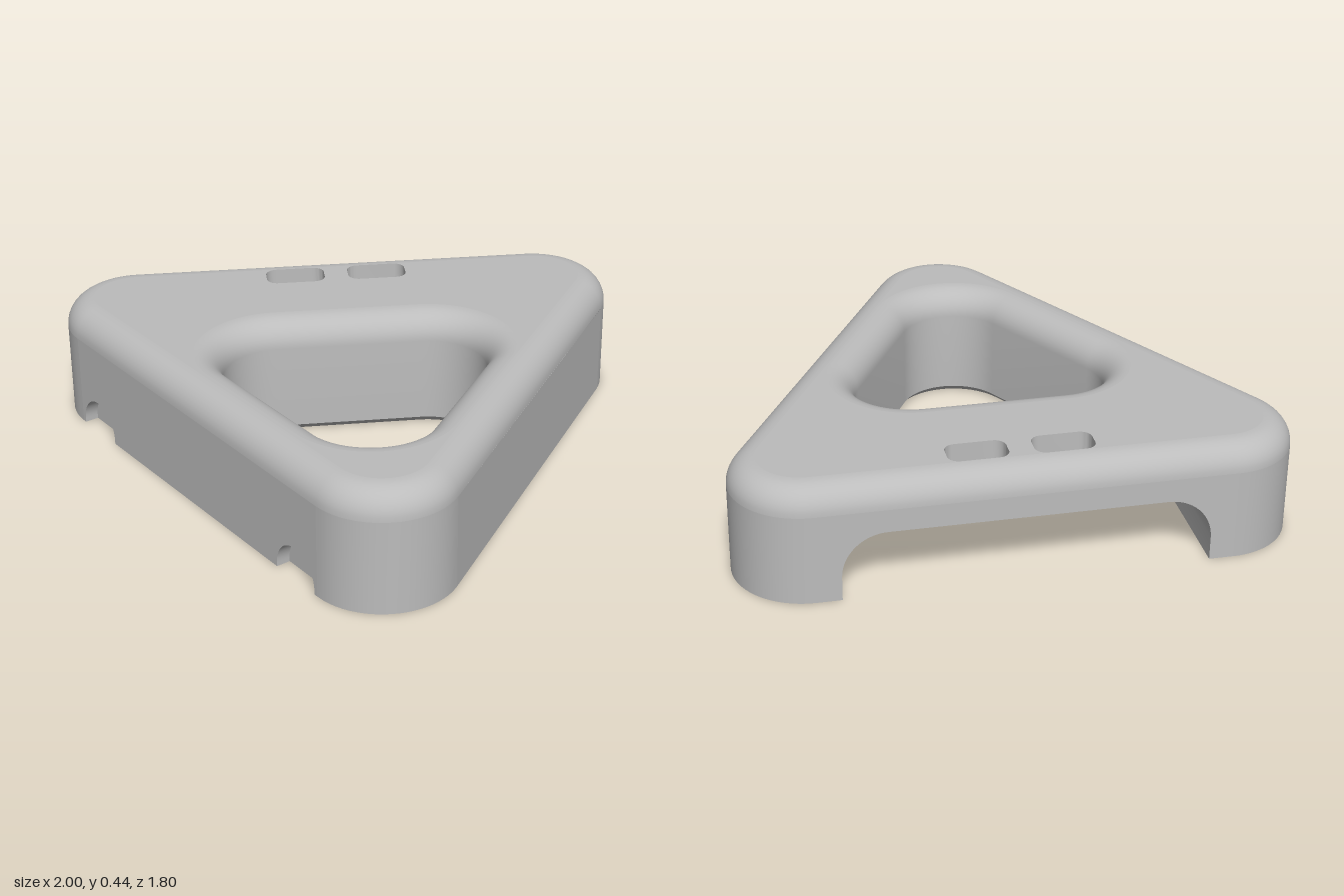
import * as THREE from 'three';
import { toCreasedNormals } from 'three/addons/utils/BufferGeometryUtils.js';

const H = 0.435, FILLET = 0.1, WALL = H - FILLET, R = 0.26, SIDE = 1.48;
const OUTER = [[0, -0.64], [-0.74, 0.64], [0.74, 0.64]];
const HOLE = [[0.21, 0.03], [-0.05, 0.48], [0.47, 0.48]], HOLE_R = 0.205;
// Underside pocket: t runs along the left wall, d inward from it
const T0 = 0.09, T1 = 1.39, DEPTH = 0.53, ARCH = 0.25, ARCH_R = 0.16;
const LIP = 0.05, CEILING = 0.36, SLOPE_END = 0.142;
const SLOTS = [0.892, 0.588], SLOT_D = 0.163, SLOT_HALF = 0.108, SLOT_R = 0.04;
const NOTCHES = [0.12, 1.36], NOTCH_R = 0.105, NOTCH_DEPTH = 0.05;

export function createModel() {
  const grey = new THREE.MeshStandardMaterial({ color: 0xbcbcbc, side: THREE.DoubleSide });
  grey.name = 'satin grey';
  const model = new THREE.Group();
  model.name = 'triangularHousing';

  const add = (parent, name, geometry) => {
    const mesh = new THREE.Mesh(geometry, grey);
    mesh.name = name;
    parent.add(mesh);
    return mesh;
  };

  // Rounded corner and complete rounded triangle, as [x, z] points
  const corner = (centres, i, r, n = 20) => Array.from({ length: n + 1 }, (_, k) => {
    const a = -Math.PI / 6 - (i + k / n) * Math.PI * 2 / 3;
    return [centres[i][0] + r * Math.cos(a), centres[i][1] + r * Math.sin(a)];
  });
  const triangle = (centres, r) => [0, 1, 2].flatMap(i => corner(centres, i, r));
  const atY = (pts, y) => pts.map(([x, z]) => [x, y, z]);

  // Skin between matching rows of points
  const loft = (rows, closed = false) => {
    const n = rows[0].length, index = [];
    for (let j = 0; j < rows.length - 1; j++) {
      for (let i = 0; i < (closed ? n : n - 1); i++) {
        const a = j * n + i, b = j * n + (i + 1) % n;
        index.push(a, a + n, b, b, a + n, b + n);
      }
    }
    const g = new THREE.BufferGeometry();
    g.setAttribute('position', new THREE.Float32BufferAttribute(rows.flat(2), 3));
    g.setIndex(index);
    return toCreasedNormals(g, 0.6);
  };

  const polygon = (pts, holes = []) => {
    const shape = new THREE.Shape(pts.map(p => new THREE.Vector2(...p)));
    shape.holes = holes.map(h => new THREE.Path(h.map(p => new THREE.Vector2(...p))));
    return new THREE.ShapeGeometry(shape);
  };

  // Horizontal sheet from [x, z] points; height may depend on z
  const sheet = (pts, holes, height) => {
    const flip = ps => ps.map(([x, z]) => [x, -z]);
    const g = polygon(flip(pts), holes.map(flip)).rotateX(-Math.PI / 2);
    const pos = g.attributes.position;
    for (let i = 0; i < pos.count; i++) pos.setY(i, height(pos.getZ(i)));
    g.computeVertexNormals();
    return g;
  };

  // One frame per side: local x along the wall, z outward
  const frames = ['left', 'front', 'right'].map((name, i) => {
    const g = new THREE.Group();
    const [x, z] = corner(OUTER, i, R).at(-1);
    g.name = name + 'Side';
    g.position.set(x, 0, z);
    g.rotation.y = (i - 1) * Math.PI * 2 / 3;
    model.add(g);
    return g;
  });
  const toPlan = (side, [t, d]) => {
    const f = frames[side], c = Math.cos(f.rotation.y), s = Math.sin(f.rotation.y);
    return [f.position.x + t * c - d * s, f.position.z - t * s - d * c];
  };

  // Arch ends of the pocket and half-round notches, as [t, y] points
  const archStart = [[T0, 0]], archEnd = [];
  for (let k = 0; k <= 14; k++) {
    const a = k / 14 * Math.PI / 2;
    archStart.push([T0 + ARCH_R * (1 - Math.cos(a)), ARCH - ARCH_R * (1 - Math.sin(a))]);
  }
  archStart.forEach(([t, y]) => archEnd.unshift([SIDE - t, y]));
  const notch = c => {
    const pts = [[c - NOTCH_R, 0]];
    for (let k = 0; k <= 24; k++) {
      const a = Math.PI * (1 - k / 24);
      pts.push([c + NOTCH_R * Math.cos(a), 0.015 + NOTCH_R * Math.sin(a)]);
    }
    return [...pts, [c + NOTCH_R, 0]];
  };

  // Outer walls: three flat panels and three round corners
  const cuts = [[...archStart, ...archEnd], NOTCHES.flatMap(notch), []];
  frames.forEach((f, i) => {
    add(f, 'wallPanel', polygon([[0, 0], ...cuts[i], [SIDE, 0], [SIDE, WALL], [0, WALL]]));
    const c = corner(OUTER, i, R);
    add(model, 'roundCorner', loft([atY(c, WALL), atY(c, 0)]));
  });

  // Rounded top edge and inner opening with its flared rim and bottom chamfer
  const edge = [], opening = [
    atY(triangle(HOLE, HOLE_R + 0.025), 0), atY(triangle(HOLE, HOLE_R), 0.025)];
  for (let k = 0; k <= 10; k++) {
    const a = k / 10 * Math.PI / 2, inset = FILLET * (1 - Math.cos(a));
    const y = WALL + FILLET * Math.sin(a);
    edge.unshift(atY(triangle(OUTER, R - inset), y));
    opening.push(atY(triangle(HOLE, HOLE_R + inset), y));
  }
  add(model, 'roundedTopEdge', loft(edge, true));
  add(model, 'innerOpening', loft(opening, true));

  // Half of a slot outline, from high t to low t; s picks the outer or inner half
  const slotHalf = (tc, s) => [1, -1].flatMap(e => Array.from({ length: 9 }, (_, k) => {
    const a = (k / 8 + (e < 0 ? 1 : 0)) * Math.PI / 2;
    return [tc + e * (SLOT_HALF - SLOT_R) + SLOT_R * Math.cos(a),
      SLOT_D + s * (SLOT_D - SLOPE_END + SLOT_R * Math.sin(a))];
  }));
  const slotOutlines = SLOTS.map(t => [...slotHalf(t, -1), ...slotHalf(t, 1).reverse()]);

  // Top and underside
  add(model, 'topFace', sheet(triangle(OUTER, R - FILLET),
    [triangle(HOLE, HOLE_R + FILLET), ...slotOutlines.map(o => o.map(p => toPlan(0, p)))], () => H));
  const pocketPlan = [[T0, 0], [T0, DEPTH], [T1, DEPTH], [T1, 0]].map(p => toPlan(0, p));
  const notchPlan = NOTCHES.flatMap(c => [[c - NOTCH_R, 0], [c - NOTCH_R, NOTCH_DEPTH],
    [c + NOTCH_R, NOTCH_DEPTH], [c + NOTCH_R, 0]]).map(p => toPlan(1, p));
  add(model, 'underside', sheet([...corner(OUTER, 0, R), ...pocketPlan,
    ...corner(OUTER, 1, R), ...notchPlan, ...corner(OUTER, 2, R)],
  [triangle(HOLE, HOLE_R + 0.025)], () => 0));

  // Shallow half-round notches in the front wall
  for (const c of NOTCHES) {
    const n = notch(c);
    add(frames[1], 'notchRim', loft([0, -NOTCH_DEPTH].map(z => n.map(([t, y]) => [t, y, z]))));
    add(frames[1], 'notchBack', polygon(n)).position.z = -NOTCH_DEPTH;
  }

  // Arched pocket behind the left wall
  const left = frames[0], A = T0 + ARCH_R, B = T1 - ARCH_R;
  for (const end of [archStart, archEnd]) {
    add(left, 'pocketEnd', loft([0, -DEPTH].map(z => end.map(([t, y]) => [t, y, z]))));
  }
  add(left, 'pocketLip', loft([0, -LIP].map(z => [[A, ARCH, z], [B, ARCH, z]])));
  add(left, 'pocketBack', polygon([...archStart, [A, CEILING], [B, CEILING], ...archEnd]))
    .position.z = -DEPTH;

  // Raised cavity with a sloped outer side, cut by the slots
  for (const t of [A, B]) {
    const end = add(left, 'cavityEnd', polygon(
      [[LIP, ARCH], [DEPTH, ARCH], [DEPTH, CEILING], [SLOPE_END, CEILING]]));
    end.rotation.y = Math.PI / 2;
    end.position.x = t;
  }
  const height = z => ARCH + (CEILING - ARCH)
    * Math.min(1, Math.max(0, (-z - LIP) / (SLOPE_END - LIP)));
  const inward = pts => pts.map(([t, d]) => [t, -d]);
  add(left, 'cavitySlope', sheet(inward([[A, LIP], [B, LIP], [B, SLOPE_END],
    ...SLOTS.flatMap(t => slotHalf(t, -1)), [A, SLOPE_END]]), [], height));
  add(left, 'cavityCeiling', sheet(inward([[A, DEPTH], [B, DEPTH], [B, SLOPE_END],
    ...SLOTS.flatMap(t => [[t + SLOT_HALF, SLOPE_END], ...slotHalf(t, 1),
      [t - SLOT_HALF, SLOPE_END]]), [A, SLOPE_END]]), [], height));
  for (const o of slotOutlines) {
    const pts = inward(o);
    add(left, 'slotWall', loft([pts.map(([t, z]) => [t, height(z), z]), atY(pts, H)], true));
  }
  return model;
}
